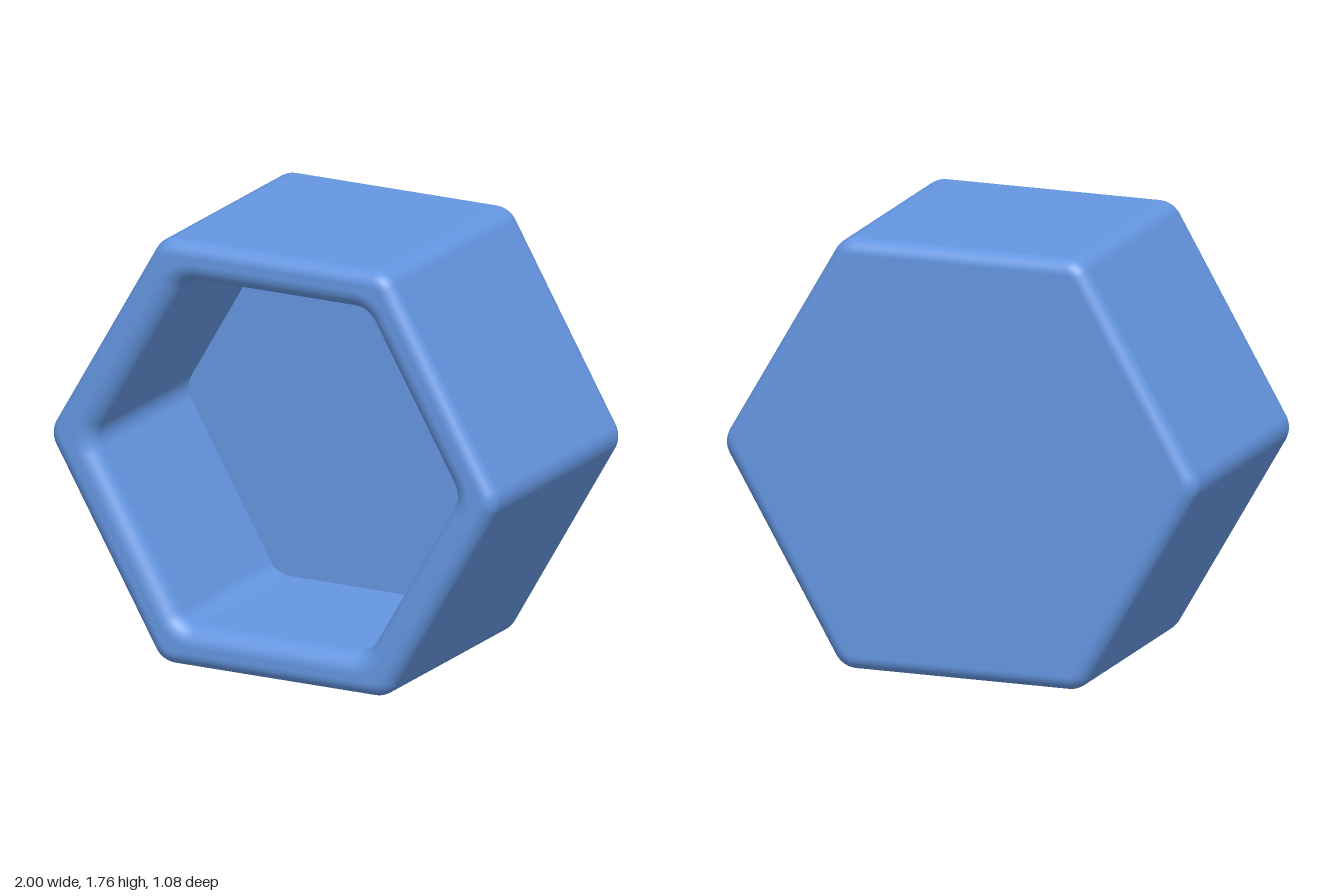
import * as THREE from 'three';

const OUTER = 0.88, INNER = 0.715;   // apothems of the outer and inner hexagons
const CORNER = 0.1;                  // rounding of the upright corners
const HALF = 0.54, FLOOR_Z = -0.27;
const EDGE = 0.06, LIP = 0.08;       // fillets of the outer edges and the inner lip
const STEPS = 8;

// Ring of a rounded hexagon: apothem a, corner radius r, depth z, profile normal angle in degrees
const ring = (a, r, z, angle) => ({ a, r, z, angle });

// Quarter-round fillet whose arc centre sits at apothem a, corner radius r, depth z
function fillet(a, r, z, radius, from, to) {
  return Array.from({ length: STEPS + 1 }, (_, i) => {
    const angle = from + (to - from) * i / STEPS;
    const t = THREE.MathUtils.degToRad(angle), d = radius * Math.cos(t);
    return ring(a + d, r + d, z + radius * Math.sin(t), angle);
  });
}

// Skin a list of rings, with exact smooth normals
function skin(rings) {
  const position = [], normal = [], index = [];
  const count = 6 * (STEPS + 1);
  for (const { a, r, z, angle } of rings) {
    const t = THREE.MathUtils.degToRad(angle);
    const reach = (a - r) / Math.cos(Math.PI / 6);
    for (let k = 0; k < 6; k++) {
      const mid = k * Math.PI / 3;
      for (let s = 0; s <= STEPS; s++) {
        const phi = mid + (s / STEPS - 0.5) * Math.PI / 3;
        const c = Math.cos(phi), n = Math.sin(phi);
        position.push(reach * Math.cos(mid) + r * c, reach * Math.sin(mid) + r * n, z);
        normal.push(c * Math.cos(t), n * Math.cos(t), Math.sin(t));
      }
    }
  }
  for (let i = 0; i < rings.length - 1; i++) {
    for (let j = 0; j < count; j++) {
      const p = i * count + j, q = i * count + (j + 1) % count;
      index.push(p, q, q + count, p, q + count, p + count);
    }
  }
  const geometry = new THREE.BufferGeometry();
  geometry.setAttribute('position', new THREE.Float32BufferAttribute(position, 3));
  geometry.setAttribute('normal', new THREE.Float32BufferAttribute(normal, 3));
  geometry.setIndex(index);
  return geometry;
}

export function createModel() {
  const blue = new THREE.MeshStandardMaterial({ color: 0x6496e1 });
  blue.name = 'blue';
  const group = new THREE.Group();
  group.name = 'hexagonalCup';

  const add = (name, rings) => {
    const mesh = new THREE.Mesh(skin(rings), blue);
    mesh.name = name;
    mesh.position.y = OUTER;
    group.add(mesh);
  };

  // Closed back, outer walls, rounded rim and inner walls
  add('shell', [
    ring(0, 0, -HALF, -90),
    ...fillet(OUTER - EDGE, CORNER - EDGE, -HALF + EDGE, EDGE, -90, 0),
    ...fillet(OUTER - EDGE, CORNER - EDGE, HALF - EDGE, EDGE, 0, 90),
    ...fillet(INNER + LIP, CORNER + LIP, HALF - LIP, LIP, 90, 180),
    ring(INNER, CORNER, FLOOR_Z, 180),
  ]);

  // Flat floor of the recess, meeting the walls at a sharp edge
  add('recessFloor', [ring(INNER, CORNER, FLOOR_Z, 90), ring(0, 0, FLOOR_Z, 90)]);

  return group;
}
